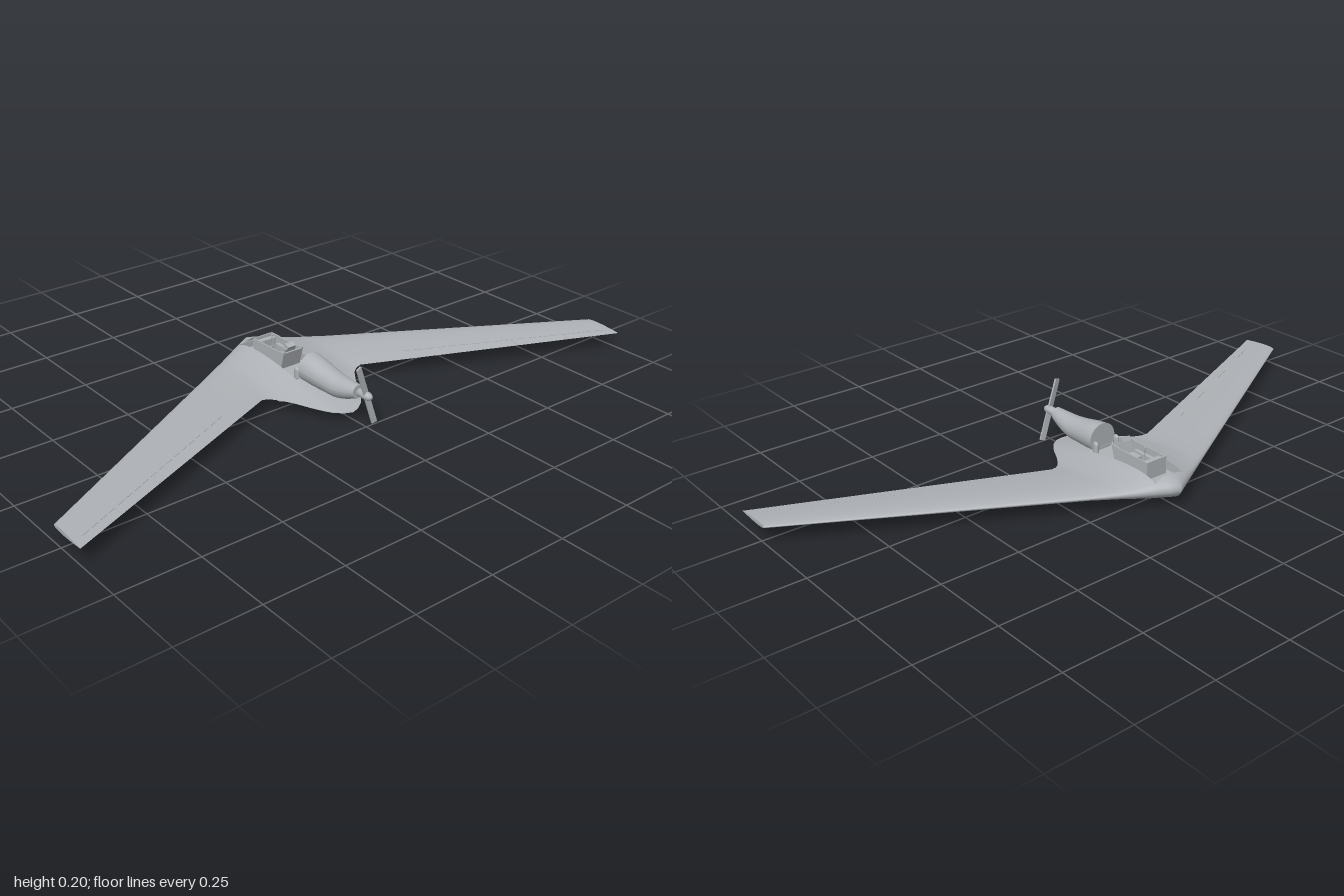
import * as THREE from 'three';

const skin = new THREE.MeshStandardMaterial({ color: 0xaeb2b6, side: THREE.DoubleSide });
skin.name = 'airframe grey';

// piecewise-linear table lookup
const table = (pts) => (z) => {
  const a = Math.abs(z);
  for (let i = 1; i < pts.length; i++) {
    const [p, q] = [pts[i - 1], pts[i]];
    if (a <= q[0]) return p[1] + (q[1] - p[1]) * (a - p[0]) / (q[0] - p[0]);
  }
  return pts[pts.length - 1][1];
};

// wing section rules by span position
const lead = (z) => -0.353 + 0.575 * Math.abs(z);
const trail = table([[0, 0.19], [0.03, 0.182], [0.06, 0.158], [0.09, 0.114], [0.12, 0.062], [0.15, 0.02], [0.17, 0.005], [0.19, 0], [1, 0.352]]);
const trailY = table([[0, 0.025], [0.06, 0.03], [0.12, 0.041], [0.19, 0.05], [1, 0.052]]);
const upper = table([[0, 0.05], [0.05, 0.047], [0.1, 0.031], [0.15, 0.02], [0.22, 0.014], [1, 0.006]]);
const lower = table([[0, 0.044], [0.05, 0.041], [0.1, 0.033], [0.15, 0.023], [0.22, 0.016], [1, 0.007]]);
const foil = (t) => 10 * (0.2969 * Math.sqrt(t) - 0.126 * t - 0.3516 * t ** 2 + 0.2843 * t ** 3 - 0.1036 * t ** 4) - 0.021 * t;

function skinY(x, z, top) {
  const t = THREE.MathUtils.clamp((x - lead(z)) / (trail(z) - lead(z)), 0, 1);
  return 0.055 + (trailY(z) - 0.055) * t + foil(t) * (top ? upper(z) : -lower(z));
}

// cockpit well limits
const WELL = { x0: -0.3, x1: -0.01, z: 0.053, floor: 0.06 };
const NA = 10, NB = 18, NC = 12, N = NA + NB + NC;

// chordwise stations line up with the well near the centre
function stationX(k, z) {
  const l = lead(z), e = trail(z), c = e - l;
  const s = THREE.MathUtils.smoothstep(Math.abs(z), WELL.z, 0.15);
  const a = THREE.MathUtils.lerp(WELL.x0, l + 0.1 * c, s);
  const b = THREE.MathUtils.lerp(WELL.x1, l + 0.63 * c, s);
  if (k <= NA) return l + (a - l) * (k / NA) ** 2;
  if (k <= NA + NB) return a + (b - a) * (k - NA) / NB;
  return b + (e - b) * (k - NA - NB) / NC;
}

function sectionRing(z) {
  const ring = [];
  for (let j = 0; j <= 2 * N; j++) {
    const x = stationX(Math.abs(N - j), z);
    ring.push(new THREE.Vector2(x, skinY(x, z, j <= N)));
  }
  return ring;
}

function wingGeometry() {
  const half = [0.0265, 0.053, 0.07, 0.09, 0.105, 0.12, 0.135, 0.15, 0.17, 0.19, 0.22, 0.3, 0.45, 0.6, 0.8, 1];
  const rows = [...half.map((z) => -z).reverse(), 0, ...half];
  const pos = [], index = [], w = 2 * N + 1;
  rows.forEach((z, i) => {
    sectionRing(z).forEach((p) => pos.push(p.x, p.y, z));
    if (i === rows.length - 1) return;
    const mid = Math.abs(z + rows[i + 1]) / 2;
    for (let j = 0; j < 2 * N; j++) {
      if (mid < WELL.z && j >= NC && j < NC + NB) continue; // leave the well open
      const a = i * w + j, b = a + w;
      index.push(a, a + 1, b + 1, a, b + 1, b);
    }
  });
  const g = new THREE.BufferGeometry();
  g.setAttribute('position', new THREE.Float32BufferAttribute(pos, 3));
  g.setIndex(index);
  g.computeVertexNormals();
  return g;
}

function add(parent, name, geo, x = 0, y = 0, z = 0) {
  const m = new THREE.Mesh(geo, skin);
  m.name = name;
  m.position.set(x, y, z);
  parent.add(m);
  return m;
}
const box = (w, h, d) => new THREE.BoxGeometry(w, h, d);

export function createModel() {
  const plane = new THREE.Group();
  plane.name = 'flyingWing';
  add(plane, 'wing', wingGeometry());
  const tip = new THREE.ShapeGeometry(new THREE.Shape(sectionRing(1)));
  for (const s of [-1, 1]) add(plane, 'wingTip', tip, 0, 0, s).scale.z = s;

  // cockpit well
  const well = new THREE.Group();
  well.name = 'cockpitWell';
  plane.add(well);
  const len = WELL.x1 - WELL.x0, midX = (WELL.x0 + WELL.x1) / 2;
  add(well, 'wellFloor', box(len, 0.004, 2 * WELL.z), midX, WELL.floor);
  const edge = [new THREE.Vector2(WELL.x0, WELL.floor)];
  for (let k = 0; k <= NB; k++) {
    const x = WELL.x0 + len * k / NB;
    edge.push(new THREE.Vector2(x, skinY(x, WELL.z, true)));
  }
  edge.push(new THREE.Vector2(WELL.x1, WELL.floor));
  const wellSide = new THREE.ShapeGeometry(new THREE.Shape(edge));
  for (const s of [-1, 1]) add(well, 'wellSide', wellSide, 0, 0, s * WELL.z);
  add(well, 'wellFront', box(0.003, 0.024, 2 * WELL.z), WELL.x0, 0.07);

  // raised crew tub with seat, stick and headrest
  const tub = new THREE.Group();
  tub.name = 'crewTub';
  plane.add(tub);
  const sidePts = [[-0.25, 0.06], [-0.25, 0.117], [-0.125, 0.117], [-0.092, 0.122], [-0.11, 0.06]];
  const sideShape = new THREE.Shape(sidePts.map((p) => new THREE.Vector2(...p)));
  const side = new THREE.ExtrudeGeometry(sideShape, { depth: 0.004, bevelEnabled: false });
  for (const z of [-0.037, 0.033]) add(tub, 'tubSide', side, 0, 0, z);
  add(tub, 'tubFront', box(0.004, 0.056, 0.07), -0.248, 0.089);
  add(tub, 'tubBack', box(0.004, 0.062, 0.07), -0.103, 0.09).rotation.z = -0.28;
  add(tub, 'instrumentPanel', box(0.018, 0.03, 0.064), -0.232, 0.095);
  add(tub, 'controlStick', new THREE.CylinderGeometry(0.0015, 0.0015, 0.07, 8), -0.2, 0.099);
  add(tub, 'stickGrip', new THREE.SphereGeometry(0.003, 10, 8), -0.199, 0.135);
  add(tub, 'seatCushion', box(0.045, 0.014, 0.04), -0.14, 0.082);
  add(tub, 'seatBack', box(0.008, 0.045, 0.04), -0.117, 0.103).rotation.z = -0.28;
  for (const z of [-0.026, 0.026]) {
    add(tub, 'sideConsole', box(0.08, 0.022, 0.012), -0.17, 0.085, z);
    add(tub, 'rudderPedal', box(0.006, 0.018, 0.012), -0.215, 0.08, z / 2);
  }
  add(tub, 'headrest', box(0.018, 0.014, 0.03), -0.11, 0.13).rotation.z = -0.5;
  for (const z of [-0.04, 0.04]) {
    const fairing = add(plane, 'wellFairing', new THREE.CapsuleGeometry(0.011, 0.022, 6, 12), -0.025, 0.081, z);
    fairing.scale.z = 0.6;
  }

  // engine nacelle: round sections given as x, top, bottom
  const nacelle = new THREE.CatmullRomCurve3([
    [-0.008, 0.145, 0.05], [0.03, 0.14, 0.05], [0.08, 0.13, 0.05], [0.13, 0.123, 0.051], [0.17, 0.122, 0.062], [0.212, 0.122, 0.08],
  ].map((p) => new THREE.Vector3(...p)));
  const cowl = new THREE.CylinderGeometry(1, 1, 1, 32, 20, true);
  const cp = cowl.attributes.position;
  for (let i = 0; i < cp.count; i++) {
    const s = nacelle.getPoint(0.5 - cp.getY(i)); // cylinder top becomes the front
    const r = (s.y - s.z) / 2;
    cp.setXYZ(i, s.x, (s.y + s.z) / 2 + r * cp.getX(i), r * cp.getZ(i));
  }
  cowl.computeVertexNormals();
  add(plane, 'nacelle', cowl);
  const frontCap = add(plane, 'nacelleFront', new THREE.CircleGeometry(0.0475, 32), -0.008, 0.0975);
  frontCap.rotation.y = -Math.PI / 2;
  const backCap = add(plane, 'nacelleBack', new THREE.CircleGeometry(0.021, 32), 0.212, 0.101);
  backCap.rotation.y = Math.PI / 2;

  // pusher propeller
  const prop = new THREE.Group();
  prop.name = 'propeller';
  prop.position.set(0.248, 0.102, 0);
  prop.rotation.x = 0.32;
  plane.add(prop);
  const hub = [[0, -0.036], [0.013, -0.03], [0.013, 0.005], [0.0115, 0.013], [0.007, 0.02], [0, 0.023]];
  const spinner = new THREE.LatheGeometry(hub.map((p) => new THREE.Vector2(...p)), 24);
  add(prop, 'spinner', spinner).rotation.z = -Math.PI / 2;
  for (const s of [-1, 1]) {
    const blade = add(prop, 'blade', box(0.006, 0.092, 0.018), 0, s * 0.055, 0);
    blade.rotation.y = s * 0.15;
  }

  // control surface hinge strips and edges on both wings
  const at = (t, z, top) => {
    const x = lead(z) + t * (trail(z) - lead(z));
    return new THREE.Vector3(x, skinY(x, z, top), z);
  };
  const strip = (name, a, b, width) => {
    const m = add(plane, name, box(width, 0.002, a.distanceTo(b)));
    m.position.copy(a).add(b).multiplyScalar(0.5);
    m.lookAt(b);
  };
  for (const s of [-1, 1]) {
    for (let i = 0; i < 18; i++) {
      const z = 0.35 + 0.035 * i;
      for (const top of [true, false]) strip('hingeStrip', at(0.775, s * z, top), at(0.775, s * (z + 0.025), top), 0.004);
    }
    for (const z of [0.68, 0.84]) strip('controlEdge', at(0.77, s * z, true), at(0.98, s * z, true), 0.003);

    // underside access covers, wheel covers and gear bay doors
    for (const z of [0.6, 0.75]) {
      const p = at(0.45, s * z, false);
      add(plane, 'accessCover', new THREE.CylinderGeometry(0.014, 0.014, 0.007, 20), p.x, p.y, p.z);
    }
    for (const [x, z] of [[-0.12, 0.1], [-0.02, 0.1], [-0.2, 0.06]]) {
      add(plane, 'wheelCover', new THREE.CylinderGeometry(0.02, 0.02, 0.012, 24), x, skinY(x, z, false), s * z);
    }
    add(plane, 'gearDoor', box(0.055, 0.008, 0.02), -0.055, skinY(-0.055, 0.12, false) - 0.002, s * 0.12);
    add(plane, 'noseDoor', box(0.05, 0.009, 0.012), -0.24, skinY(-0.24, 0.03, false), s * 0.03).rotation.z = -0.12;
  }
  add(plane, 'keelPanel', box(0.14, 0.004, 0.05), -0.1, 0.0045);
  return plane;
}
